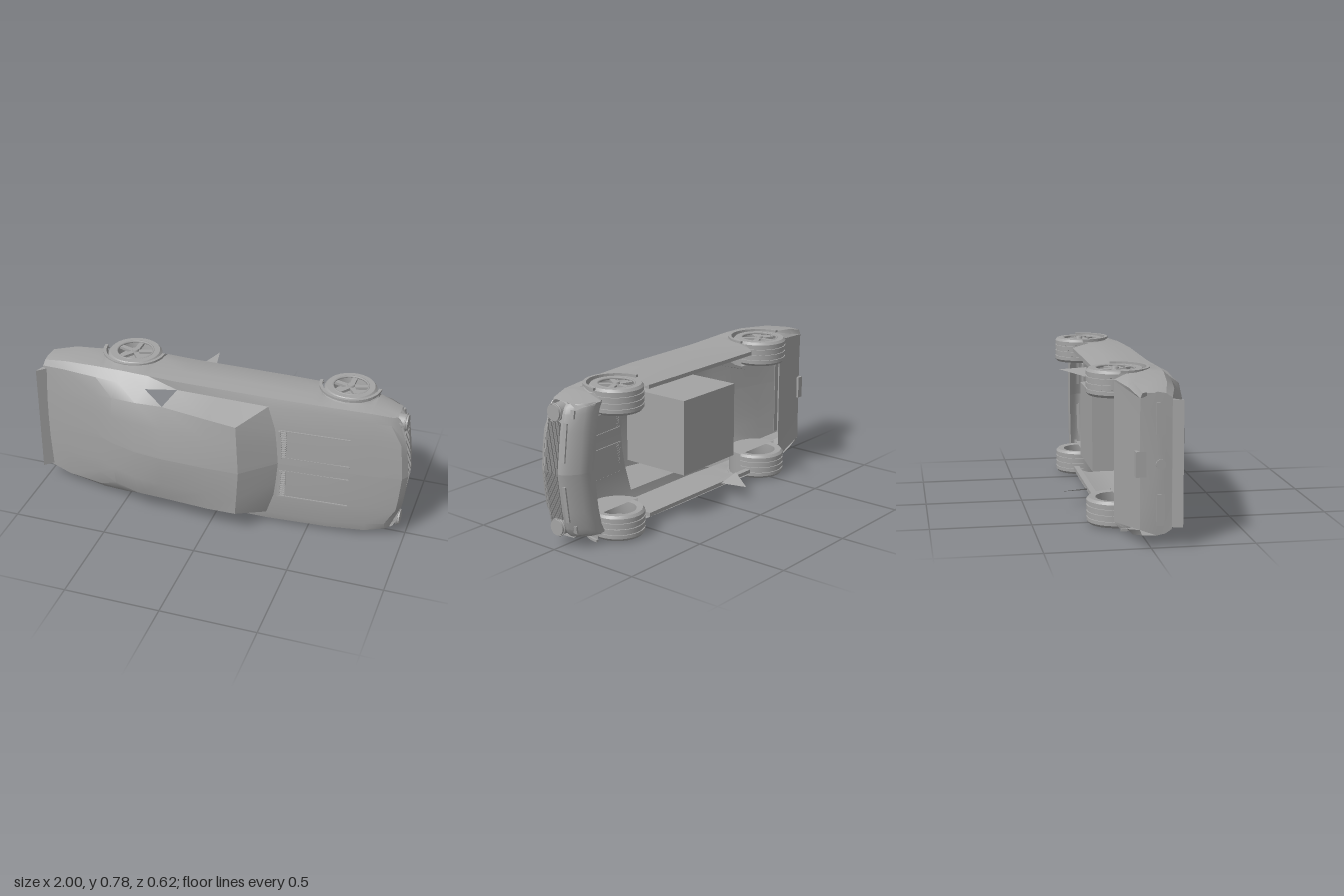
import * as THREE from 'three';
import { toCreasedNormals } from 'three/addons/utils/BufferGeometryUtils.js';

// The car lies on its side: length along x (nose at +x), its roof towards +z, its width along y.
export function createModel() {
  const root = new THREE.Group();
  root.name = 'car';
  const grey = new THREE.MeshStandardMaterial({ color: 0xa3a3a3, side: THREE.DoubleSide });
  grey.name = 'plain grey';

  const add = (parent, name, geo, pos = [0, 0, 0], rot = [0, 0, 0]) => {
    const m = new THREE.Mesh(geo, grey);
    m.name = name;
    m.position.set(...pos);
    m.rotation.set(...rot);
    parent.add(m);
    return m;
  };
  const box = (x, y, z) => new THREE.BoxGeometry(x, y, z);

  // Skin over a grid of points; skip(i, j) drops the second triangle of a cell
  const skin = (g, skip = () => false, crease = 0.5) => {
    const v = [];
    for (let i = 0; i < g.length - 1; i++) {
      for (let j = 0; j < g[i].length - 1; j++) {
        const a = g[i][j], b = g[i][j + 1], c = g[i + 1][j + 1], d = g[i + 1][j];
        v.push(...a, ...c, ...b);
        if (!skip(i, j)) v.push(...a, ...d, ...c);
      }
    }
    const geo = new THREE.BufferGeometry();
    geo.setAttribute('position', new THREE.Float32BufferAttribute(v, 3));
    geo.computeVertexNormals();
    return toCreasedNormals(geo, crease);
  };

  const half = new THREE.Group();
  half.name = 'upperSide';

  // Upper body: x, shoulder y z, belt y z, rail x y z, centre x z
  const keys = [
    [-0.98, 0.33, 0.07, 0.31, 0.10, -0.98, 0.20, 0.105, -0.98, 0.11],
    [-0.85, 0.36, 0.10, 0.33, 0.135, -0.85, 0.20, 0.145, -0.85, 0.15],
    [-0.65, 0.378, 0.125, 0.335, 0.165, -0.65, 0.24, 0.185, -0.65, 0.195],
    [-0.52, 0.38, 0.13, 0.335, 0.18, -0.54, 0.265, 0.225, -0.54, 0.245],
    [-0.37, 0.375, 0.13, 0.325, 0.18, -0.40, 0.28, 0.255, -0.40, 0.288],
    [-0.21, 0.37, 0.13, 0.325, 0.135, -0.25, 0.285, 0.255, -0.25, 0.306],
    [0.02, 0.37, 0.13, 0.325, 0.138, 0.0, 0.275, 0.283, 0.0, 0.313],
    [0.28, 0.37, 0.13, 0.325, 0.142, 0.155, 0.265, 0.293, 0.175, 0.308],
    [0.29, 0.37, 0.13, 0.325, 0.142, 0.32, 0.20, 0.148, 0.34, 0.152],
    [0.60, 0.365, 0.115, 0.33, 0.125, 0.60, 0.20, 0.132, 0.60, 0.136],
    [0.80, 0.357, 0.095, 0.31, 0.105, 0.81, 0.20, 0.11, 0.82, 0.115],
    [0.90, 0.34, 0.07, 0.30, 0.085, 0.955, 0.20, 0.085, 0.975, 0.09],
    [0.925, 0.335, 0.05, 0.325, 0.055, 0.975, 0.20, 0.055, 1.0, 0.055],
  ];
  const upper = keys.map(([x, sy, sz, by, bz, rx, ry, rz, cx, cz]) => [
    [x, sy, sz], [x, by, bz], [rx, ry, rz],
    [(rx + cx) / 2, ry * 0.6, rz + (cz - rz) * 0.75], [cx, 0, cz],
  ]);
  add(half, 'upperBody', skin(upper, (i, j) => i === 4 && j === 1)); // open rear quarter window

  // Lower body side with wheel arches
  const sample = (table, x, col) => {
    let i = 0;
    while (i < table.length - 2 && x > table[i + 1][0]) i++;
    const a = table[i], b = table[i + 1];
    return a[col] + (b[col] - a[col]) * ((x - a[0]) / (b[0] - a[0]));
  };
  const sill = [[-0.98, -0.05], [-0.68, -0.12], [-0.4, -0.155], [0.5, -0.155], [0.8, -0.14], [0.925, -0.1]];
  const wheels = [[-0.527, 0.143, 'rear'], [0.644, 0.135, 'front']];
  const hubZ = r => r - 0.232, archR = r => r + 0.014;
  const xs = keys.map(k => k[0]).concat([-0.4, 0.5]);
  for (const [cx, r] of wheels) {
    const R = archR(r);
    xs.push(cx - R - 0.002, cx + R + 0.002);
    for (let k = 0; k <= 10; k++) xs.push(cx + R * Math.cos(k * Math.PI / 10));
  }
  xs.sort((a, b) => a - b);
  add(half, 'bodySide', skin(xs.map(x => {
    const sy = sample(keys, x, 1), sz = sample(keys, x, 2), w = sy + 0.008;
    let z0 = sample(sill, x, 1), y0 = w - 0.03;
    for (const [cx, r] of wheels) {
      const d = archR(r) ** 2 - (x - cx) ** 2;
      if (d > -1e-9) { z0 = Math.max(z0, hubZ(r) + Math.sqrt(Math.max(d, 0))); y0 = w; }
    }
    return [[x, y0, z0], [x, w - 0.004, Math.max(-0.06, z0 + 0.01)],
      [x, w, Math.min(sz - 0.003, Math.max(0.03, z0 + 0.015))], [x, sy, sz]];
  })));

  // Nose: grille recess, bumper and chin swept along a shallow V
  const plan = [[0, 1], [0.2, 0.975], [0.29, 0.955], [0.32, 0.94], [0.335, 0.925]];
  const noseProfile = [[0, 0.055], [-0.002, 0.05], [-0.05, 0.046], [-0.05, -0.03], [-0.004, -0.034],
    [-0.004, -0.05], [-0.02, -0.08], [-0.07, -0.118], [-0.11, -0.13], [-0.16, -0.125]];
  add(half, 'nose', skin(plan.map(([y, x]) => noseProfile.map(([dx, z]) => [x + dx, y, z]))));
  for (let k = 0; k < 9; k++) {
    add(half, 'grilleSlat', box(0.03, 0.245, 0.003), [0.967, 0.12, -0.026 + k * 0.009], [0, 0, 0.125]);
  }
  add(half, 'headlight', new THREE.CylinderGeometry(0.04, 0.044, 0.06, 20), [0.94, 0.29, 0.009], [0, 0, -Math.PI / 2]);
  add(half, 'headlightRing', new THREE.TorusGeometry(0.043, 0.004, 6, 24), [0.958, 0.29, 0.009], [0, Math.PI / 2, 0]);
  add(half, 'bumperSlot', box(0.008, 0.19, 0.022), [0.972, 0.155, -0.062], [0, 0, 0.125]);
  add(half, 'indicator', box(0.01, 0.04, 0.024), [0.932, 0.29, -0.082], [0, 0, 0.2]);

  // Hood scoop: louvre at the back and two long edges
  add(half, 'scoopLip', box(0.014, 0.16, 0.012), [0.35, 0.12, 0.154], [0, 0, 0.06]);
  for (let k = 0; k < 12; k++) add(half, 'scoopRib', box(0.03, 0.005, 0.014), [0.367, 0.047 + k * 0.0133, 0.154]);
  for (const y of [0.04, 0.2]) add(half, 'scoopEdge', box(0.36, 0.005, 0.007), [0.53, y, 0.139], [0, 0.055, 0]);

  // Tail panel, underside and lamps
  add(half, 'tailPanel', skin([
    [[-0.98, 0, 0.11], [-0.98, 0.2, 0.105], [-0.98, 0.31, 0.1]],
    [[-0.982, 0, 0.07], [-0.982, 0.2, 0.07], [-0.98, 0.33, 0.07]],
    [[-0.985, 0, 0.03], [-0.985, 0.2, 0.03], [-0.98, 0.338, 0.03]],
    [[-0.975, 0, -0.05], [-0.975, 0.2, -0.05], [-0.98, 0.308, -0.05]],
    [[-0.68, 0, -0.12], [-0.68, 0.2, -0.12], [-0.68, 0.345, -0.12]],
  ]));
  add(half, 'tailLamp', box(0.008, 0.15, 0.04), [-0.984, 0.215, 0.045]);

  // Door sill and the pointed fin beneath it
  add(half, 'sillPlate', box(0.84, 0.02, 0.03), [0.05, 0.335, -0.14]);
  add(half, 'sillFin', skin([[[-0.21, 0.29, -0.18], [-0.13, 0.322, -0.31]], [[-0.1, 0.325, -0.165], [-0.1, 0.325, -0.165]]]));

  // Wheels, axle along y with the outer face at +y
  for (const [cx, r, name] of wheels) {
    const wheel = new THREE.Group();
    wheel.name = name + 'Wheel';
    wheel.position.set(cx, 0.32, hubZ(r));
    half.add(wheel);
    const rim = r * 0.68;
    const outline = [[rim, -0.062], [r * 0.92, -0.065], [r, -0.052]];
    for (const y of [-0.03, 0, 0.03]) outline.push([r, y - 0.004], [r - 0.005, y - 0.003], [r - 0.005, y + 0.003], [r, y + 0.004]);
    outline.push([r, 0.052], [r * 0.92, 0.065], [rim * 1.04, 0.065], [rim, 0.055], [rim, -0.062]);
    const tyre = new THREE.LatheGeometry(outline.map(p => new THREE.Vector2(...p)), 28);
    add(wheel, 'tyre', toCreasedNormals(tyre, 0.5));
    add(wheel, 'rimRing', new THREE.TorusGeometry(rim, 0.006, 6, 28), [0, 0.062, 0], [Math.PI / 2, 0, 0]);
    add(wheel, 'brakeDisc', new THREE.CylinderGeometry(rim, rim, 0.008, 24), [0, 0.01, 0]);
    add(wheel, 'hub', new THREE.CylinderGeometry(0.017, 0.024, 0.03, 12), [0, 0.056, 0]);
    for (let k = 0; k < 5; k++) {
      const arm = new THREE.Group();
      arm.name = 'spoke';
      arm.rotation.y = Math.PI / 2 + k * Math.PI * 0.4;
      add(arm, 'spokeBar', box(rim - 0.015, 0.014, 0.026), [(rim + 0.015) / 2, 0.053, 0]);
      wheel.add(arm);
    }

    // Arch lip and wheel well
    const R = archR(r), lip = new THREE.Shape();
    lip.absarc(0, 0, R + 0.012, 0, Math.PI, false);
    lip.absarc(0, 0, R - 0.004, Math.PI, 0, true);
    const lipGeo = new THREE.ExtrudeGeometry(lip, { depth: 0.012, bevelEnabled: false, curveSegments: 8 });
    add(half, name + 'ArchLip', lipGeo, [cx, 0.392, hubZ(r)], [Math.PI / 2, 0, 0]);
    const well = new THREE.CylinderGeometry(R, R, 0.13, 10, 1, true, -Math.PI / 2, Math.PI);
    add(half, name + 'WheelWell', well, [cx, 0.315, hubZ(r)]);
    add(half, name + 'WellWall', new THREE.CircleGeometry(R, 10, 0, Math.PI), [cx, 0.25, hubZ(r)], [Math.PI / 2, 0, 0]);
  }

  // Mirror the finished half
  const other = half.clone();
  other.name = 'lowerSide';
  other.scale.y = -1;
  root.add(half, other);

  // Middle parts
  add(root, 'cabinBlock', box(0.42, 0.4, 0.39), [-0.01, 0, 0.04]);
  const wedge = new THREE.Shape([[-0.95, 0.1], [-0.985, 0.1], [-1, 0.15]].map(p => new THREE.Vector2(...p)));
  const wing = new THREE.ExtrudeGeometry(wedge, { depth: 0.6, bevelEnabled: false });
  add(root, 'tailSpoiler', wing, [0, 0.3, 0], [Math.PI / 2, 0, 0]);
  add(root, 'numberPlate', box(0.035, 0.12, 0.05), [-0.962, 0, -0.045]);
  add(root, 'fuelCap', new THREE.CylinderGeometry(0.024, 0.024, 0.012, 16), [-0.986, 0, 0.045], [0, 0, Math.PI / 2]);

  root.position.y = 0.4;
  const model = new THREE.Group();
  model.name = 'model';
  model.add(root);
  return model;
}
